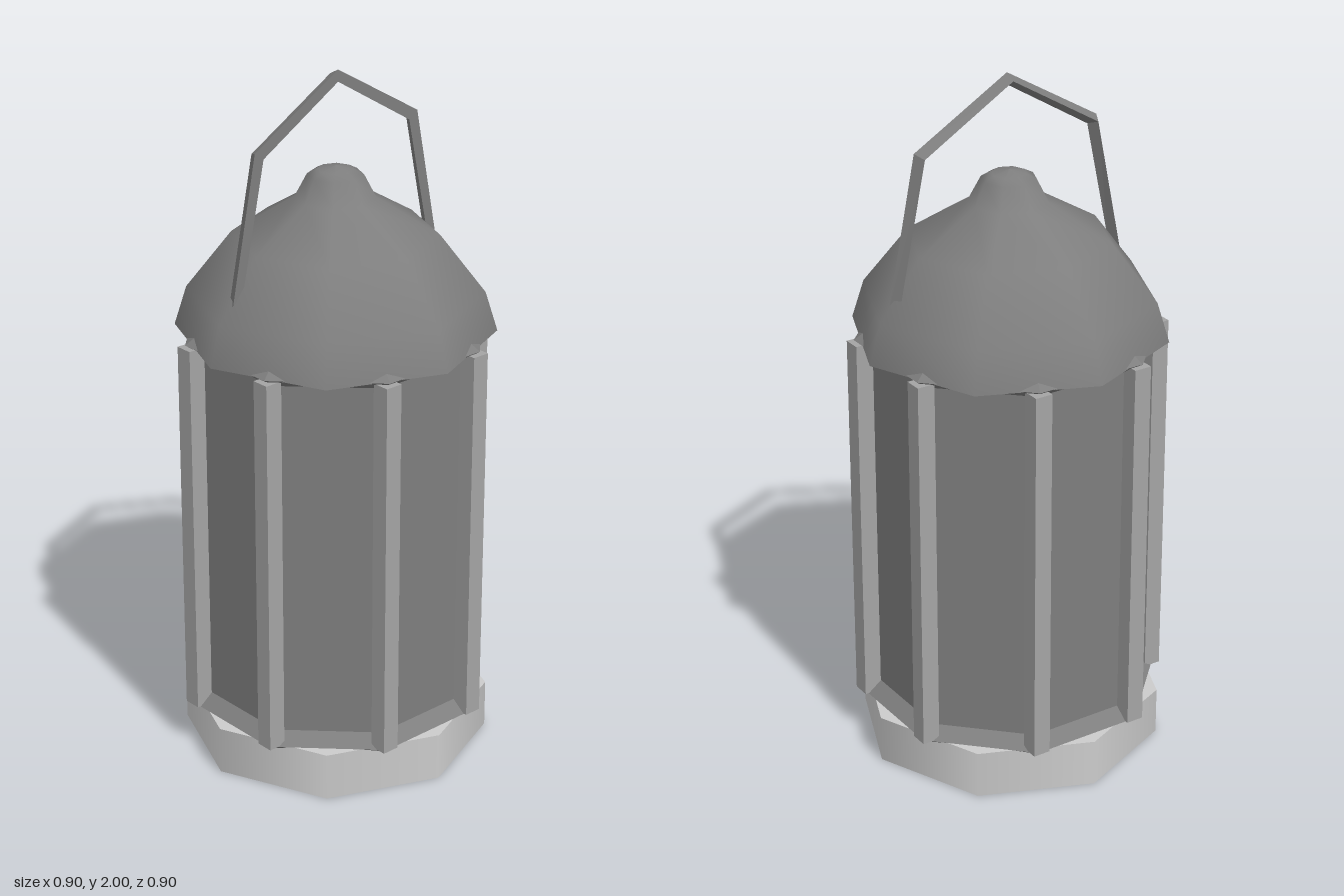
import * as THREE from 'three';

const paint = (color, flatShading) => new THREE.MeshStandardMaterial({ color, flatShading });
const baseGrey = paint(0xcccccc, false);
const postGrey = paint(0xa4a4a4, true);
const darkSmooth = paint(0x7e7e7e, false);
const darkFlat = paint(0x7e7e7e, true);

export function createModel() {
  const group = new THREE.Group();
  const add = (name, geometry, material, y = 0) => {
    const mesh = new THREE.Mesh(geometry, material);
    mesh.name = name;
    mesh.position.y = y;
    group.add(mesh);
    return mesh;
  };
  const lathe = (points, start = 0) =>
    new THREE.LatheGeometry(points.map(([r, y]) => new THREE.Vector2(r, y)), 8, start);
  const turn = Math.PI / 8;

  // Octagonal foot, corners on the axes
  add('base', new THREE.CylinderGeometry(0.442, 0.442, 0.14, 8), baseGrey, 0.07);

  // Glass body, flat sides on the axes
  add('glassPanels', new THREE.CylinderGeometry(0.39, 0.39, 1.14, 8, 1, false, turn), darkFlat, 0.7);

  // Bevelled rings where the glass meets the base and the roof
  for (const [name, y] of [['lowerRing', 0.14], ['upperRing', 1.26]]) {
    add(name, lathe([[0.388, -0.033], [0.436, 0], [0.388, 0.033]], turn), darkFlat, y);
  }

  // Eight square corner posts
  for (const [x, z] of [[0.161, 0.387], [0.387, 0.161]]) {
    for (const sx of [-1, 1]) for (const sz of [-1, 1]) {
      const post = add('cornerPost', new THREE.BoxGeometry(0.052, 1.112, 0.052), postGrey, 0.697);
      post.position.x = sx * x;
      post.position.z = sz * z;
    }
  }

  // Domed roof with a small knob, and its underside
  add('roof', lathe([[0.45, 1.257], [0.415, 1.37], [0.287, 1.535], [0.112, 1.64],
    [0.078, 1.705], [0.05, 1.72], [0, 1.73]]), darkSmooth);
  add('roofUnderside', lathe([[0, 1.257], [0.45, 1.257]]), darkFlat);

  add('handle', handleGeometry(), darkFlat);
  return group;
}

// Angular carrying handle: a triangular section swept over five stations
function handleGeometry() {
  const half = [
    { outer: [0.378, 1.41], inner: [0.342, 1.44] },
    { outer: [0.294, 1.828], inner: [0.264, 1.806] },
  ];
  const top = { outer: [0, 2], inner: [0, 1.966] };
  const mirror = ({ outer, inner }) => ({ outer: [-outer[0], outer[1]], inner: [-inner[0], inner[1]] });
  const stations = [...half, top, ...half.map(mirror).reverse()];

  const positions = [];
  for (const { outer, inner } of stations) {
    positions.push(...outer, 0.0105, ...inner, 0.0105,
      (outer[0] + inner[0]) / 2, (outer[1] + inner[1]) / 2, -0.021);
  }
  const index = [];
  for (let i = 0; i < stations.length - 1; i++) {
    for (let j = 0; j < 3; j++) {
      const a = i * 3 + j, b = i * 3 + (j + 1) % 3;
      index.push(a, a + 3, b, b, a + 3, b + 3);
    }
  }
  const end = (stations.length - 1) * 3;
  index.push(0, 1, 2, end, end + 2, end + 1);

  const geometry = new THREE.BufferGeometry();
  geometry.setAttribute('position', new THREE.Float32BufferAttribute(positions, 3));
  geometry.setIndex(index);
  geometry.computeVertexNormals();
  return geometry;
}
